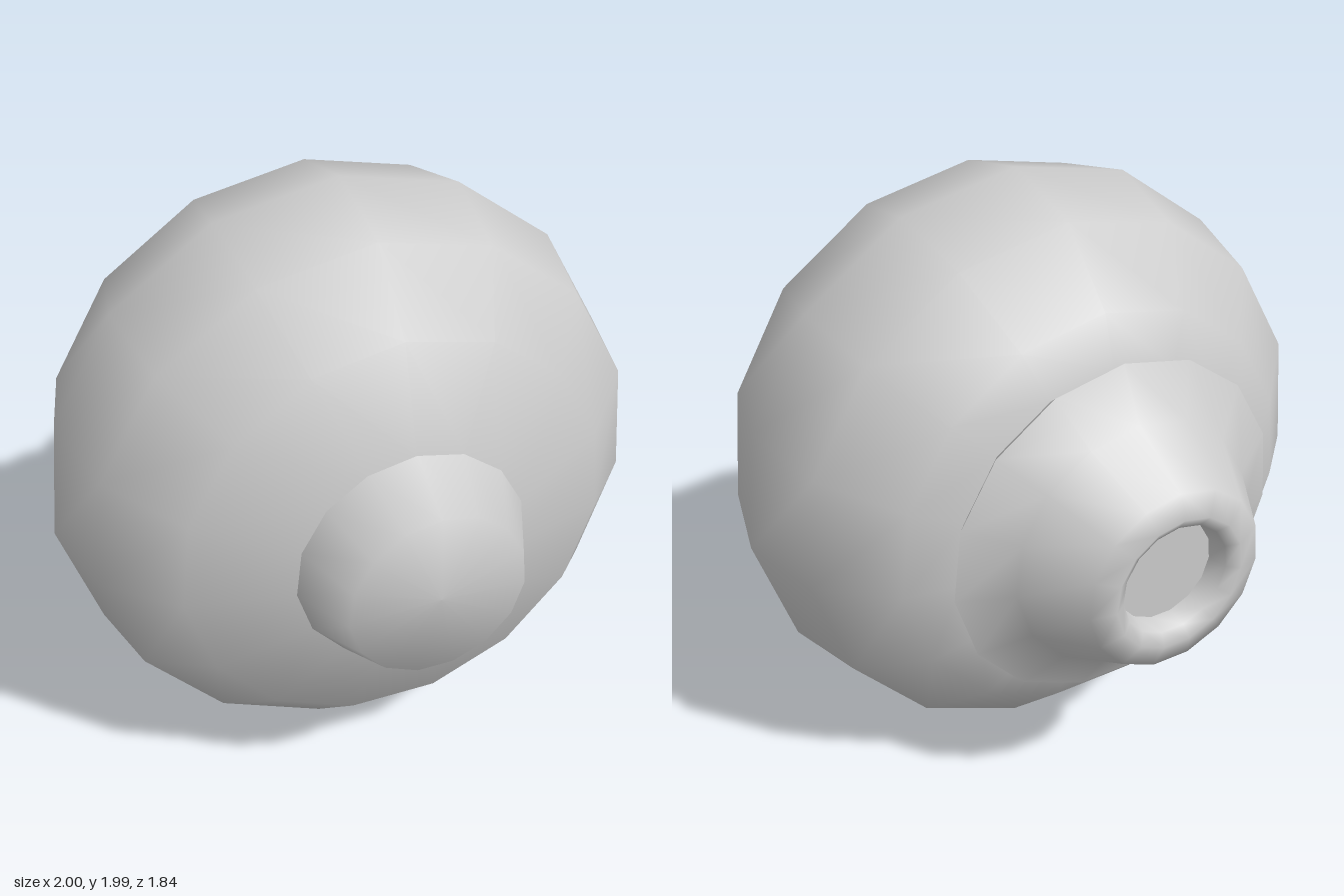
import * as THREE from 'three';

const SIDES = 15;
const AXIS_Y = 0.983; // lowest flat side rests on y = 0

// Turned part around the z axis; profile is [radius, z] from back to front
function turned(name, profile, material) {
  const points = profile.map(([r, z]) => new THREE.Vector2(r, z));
  const geometry = new THREE.LatheGeometry(points, SIDES, Math.PI, Math.PI * 2);
  geometry.rotateX(Math.PI / 2);
  geometry.translate(0, AXIS_Y, 0);
  const mesh = new THREE.Mesh(geometry, material);
  mesh.name = name;
  return mesh;
}

export function createModel() {
  const group = new THREE.Group();
  group.name = 'roundVessel';
  const material = new THREE.MeshStandardMaterial({ color: 0xcccccc });

  // Wide rounded body
  group.add(turned('body', [
    [0.55, -0.525], [0.715, -0.47], [0.93, -0.255], [1.0055, 0.06],
    [0.93, 0.375], [0.715, 0.595], [0.385, 0.705],
  ], material));

  // Tapered front nub with a shallow domed end
  group.add(turned('frontNub', [[0.385, 0.705], [0.29, 0.905], [0, 0.922]], material));

  // Back collar: undercut flange, then a neck rising to a rolled rim
  group.add(turned('flangeUnderside', [[0.595, -0.58], [0.55, -0.525]], material));
  group.add(turned('neck', [
    [0.175, -0.83], [0.19, -0.895], [0.23, -0.922], [0.31, -0.895],
    [0.43, -0.675], [0.595, -0.58],
  ], material));

  // Floor of the recess inside the rim
  group.add(turned('recessFloor', [[0, -0.83], [0.175, -0.83]], material));

  return group;
}
